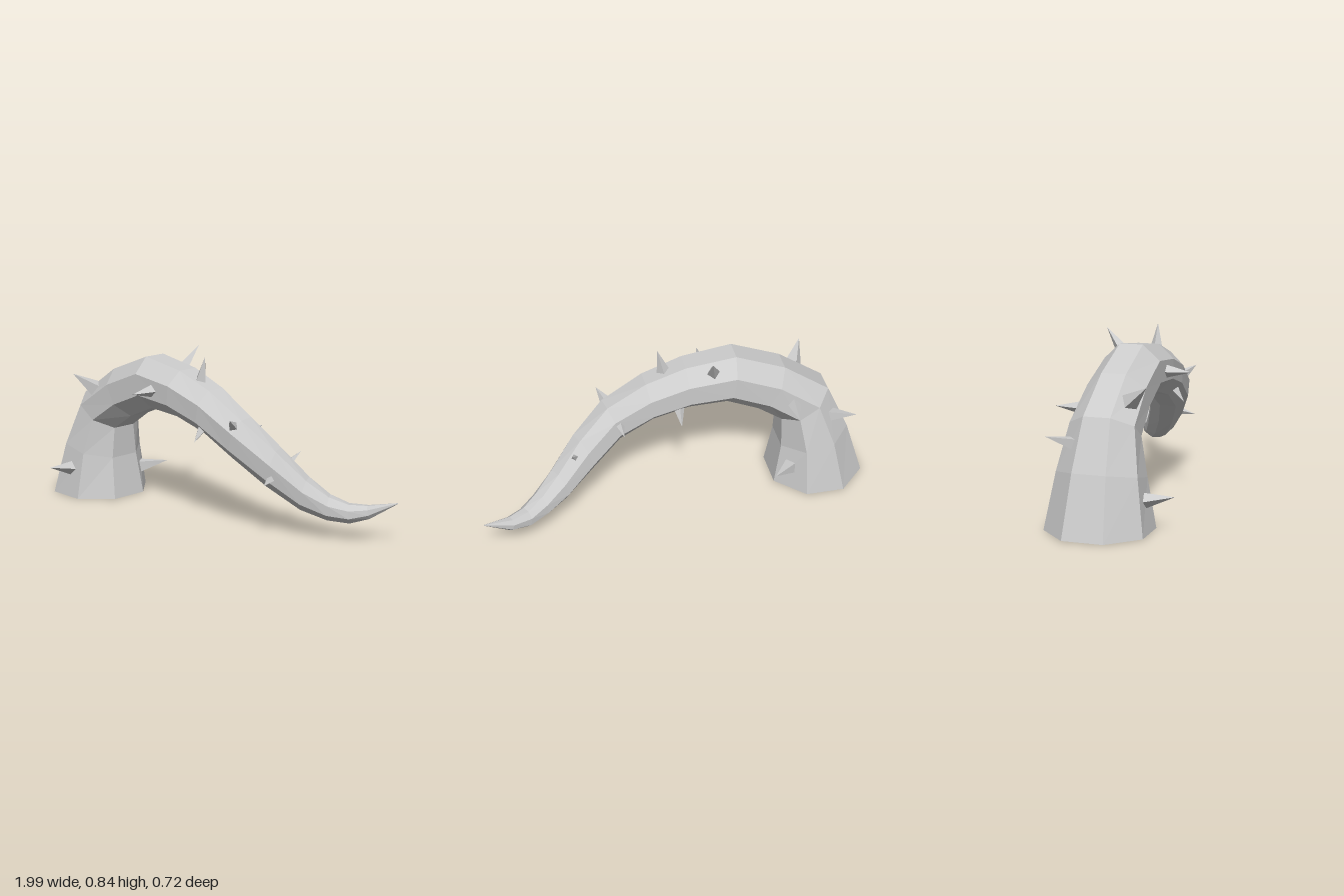
import * as THREE from 'three';

// Rings along the tentacle: outer x,y / inner x,y / centre z / half width
const RINGS = [
  [-1.0, 0, -0.53, 0, 0, 0.24],
  [-0.91, 0.29, -0.565, 0.215, 0, 0.197],
  [-0.8, 0.53, -0.565, 0.375, 0, 0.157],
  [-0.57, 0.69, -0.44, 0.46, 0, 0.145],
  [-0.32, 0.79, -0.28, 0.53, 0, 0.14],
  [-0.07, 0.755, -0.09, 0.52, 0.005, 0.13],
  [0.13, 0.685, 0.095, 0.47, 0.005, 0.117],
  [0.33, 0.57, 0.27, 0.375, -0.005, 0.1],
  [0.485, 0.435, 0.43, 0.25, -0.07, 0.085],
  [0.61, 0.3, 0.575, 0.148, -0.145, 0.071],
  [0.7, 0.222, 0.69, 0.105, -0.205, 0.057],
  [0.775, 0.187, 0.785, 0.095, -0.26, 0.046],
  [0.855, 0.187, 0.87, 0.125, -0.307, 0.033],
  [0.99, 0.217, 0.992, 0.213, -0.36, 0.002],
];

// Thorns: base x,y,z / tip x,y,z / base radius
const THORNS = [
  [-0.75, 0.145, 0.19, -0.75, 0.176, 0.355, 0.042],
  [-0.6, 0.125, -0.145, -0.495, 0.155, -0.245, 0.04],
  [-0.6, 0.525, -0.12, -0.59, 0.525, -0.282, 0.038],
  [-0.8, 0.4, -0.11, -0.91, 0.45, -0.205, 0.038],
  [-0.665, 0.58, 0.11, -0.722, 0.662, 0.21, 0.045],
  [-0.195, 0.645, 0.12, -0.195, 0.645, 0.262, 0.036],
  [-0.2, 0.725, -0.08, -0.175, 0.842, -0.175, 0.036],
  [0.03, 0.71, 0.01, 0.06, 0.838, 0.01, 0.034],
  [0.31, 0.535, 0.06, 0.35, 0.585, 0.125, 0.031],
  [0.11, 0.495, 0.08, 0.11, 0.435, 0.132, 0.026],
  [-0.03, 0.54, -0.08, -0.03, 0.475, -0.145, 0.026],
  [0.27, 0.5, -0.085, 0.265, 0.495, -0.188, 0.024],
  [0.495, 0.305, -0.015, 0.52, 0.287, 0.066, 0.022],
  [0.5, 0.36, -0.125, 0.527, 0.415, -0.185, 0.022],
];

const material = new THREE.MeshStandardMaterial({ color: 0xcccccc, flatShading: true });

// Eight-sided skin lofted through the rings, with a closed foot
function tentacleGeometry() {
  const centres = RINGS.map(([ox, oy, ix, iy, z]) =>
    new THREE.Vector3((ox + ix) / 2, (oy + iy) / 2, z));
  const positions = [], index = [], n = 8;
  const last = RINGS.length - 1;
  RINGS.forEach(([ox, oy, ix, iy, , width], i) => {
    const up = new THREE.Vector3((ox - ix) / 2, (oy - iy) / 2, 0);
    const side = centres[Math.min(i + 1, last)].clone().sub(centres[Math.max(i - 1, 0)]);
    if (i === 0) side.set(0, 1, 0);
    side.cross(up).normalize().multiplyScalar(width);
    for (let k = 0; k < n; k++) {
      const a = ((k + 0.5) / n) * Math.PI * 2;
      const s = 1 / Math.cos(Math.PI / n); // flats touch the ring size
      const p = centres[i].clone()
        .addScaledVector(up, Math.cos(a) * s)
        .addScaledVector(side, Math.sin(a) * s);
      positions.push(p.x, p.y, p.z);
    }
  });
  for (let i = 0; i < last; i++) {
    for (let k = 0; k < n; k++) {
      const a = i * n + k, b = i * n + ((k + 1) % n);
      index.push(a, b, b + n, a, b + n, a + n);
    }
  }
  for (let k = 1; k < n - 1; k++) {
    index.push(0, k + 1, k); // foot
    index.push(last * n, last * n + k, last * n + k + 1); // tip
  }
  const geometry = new THREE.BufferGeometry();
  geometry.setAttribute('position', new THREE.Float32BufferAttribute(positions, 3));
  geometry.setIndex(index);
  geometry.computeVertexNormals();
  return geometry;
}

// Four-sided pyramid from a base point to a tip
function makeThorn([bx, by, bz, tx, ty, tz, radius]) {
  const base = new THREE.Vector3(bx, by, bz);
  const axis = new THREE.Vector3(tx, ty, tz).sub(base);
  const length = axis.length();
  const geometry = new THREE.ConeGeometry(radius, length, 4);
  geometry.translate(0, length / 2, 0);
  const thorn = new THREE.Mesh(geometry, material);
  thorn.position.copy(base);
  thorn.quaternion.setFromUnitVectors(new THREE.Vector3(0, 1, 0), axis.normalize());
  thorn.name = 'thorn';
  return thorn;
}

export function createModel() {
  const model = new THREE.Group();
  model.name = 'thornyTentacle';

  const tentacle = new THREE.Mesh(tentacleGeometry(), material);
  tentacle.name = 'tentacle';
  model.add(tentacle);

  const thorns = new THREE.Group();
  thorns.name = 'thorns';
  THORNS.forEach((t) => thorns.add(makeThorn(t)));
  model.add(thorns);
  return model;
}
